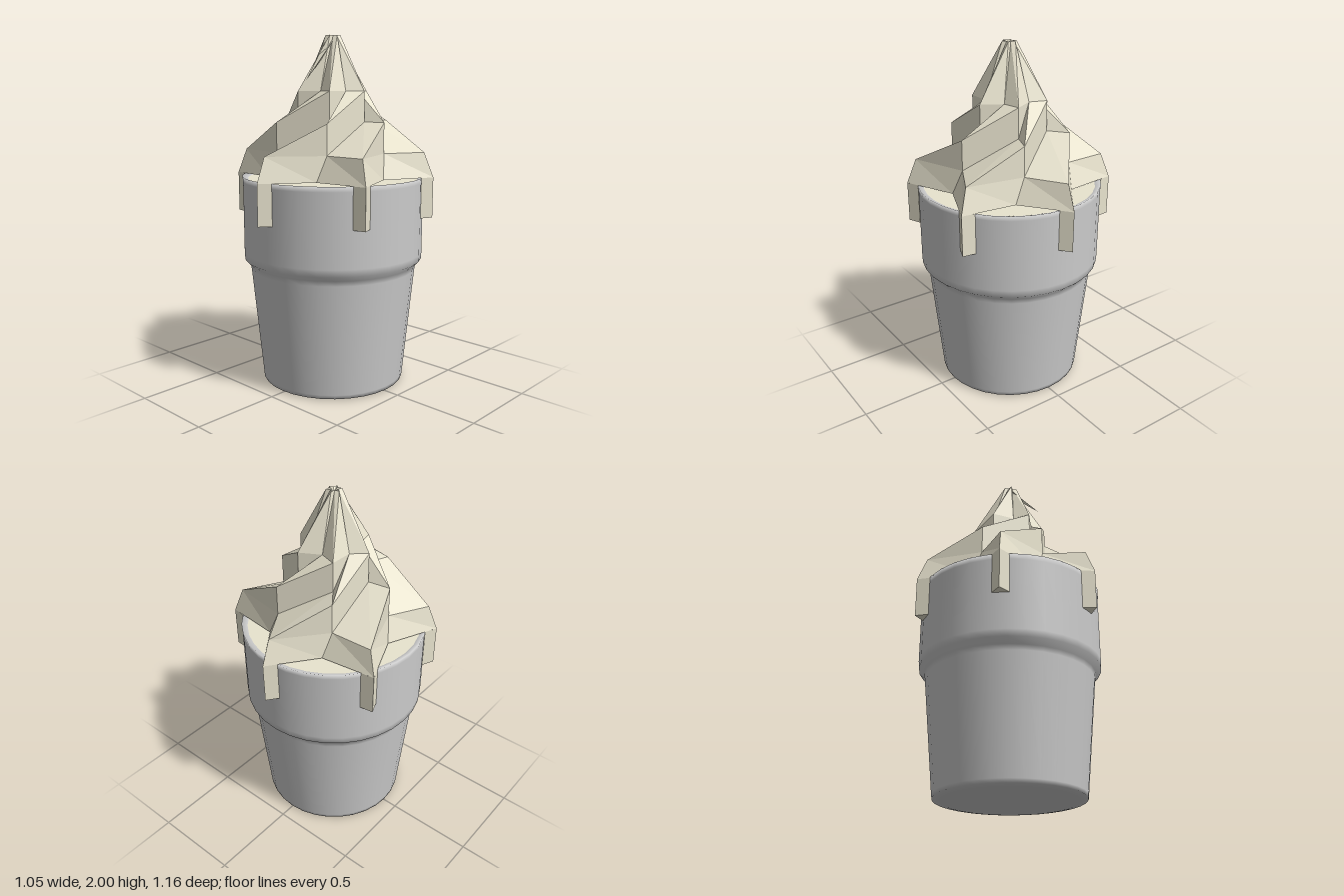
import * as THREE from 'three';

const SIDES = 6;
const polar = (r, deg, y) => {
  const a = THREE.MathUtils.degToRad(deg);
  return [r * Math.sin(a), y, r * Math.cos(a)];
};

// Triangle soup to flat-shaded mesh
function facetMesh(tris, material, name) {
  const g = new THREE.BufferGeometry();
  g.setAttribute('position', new THREE.Float32BufferAttribute(tris.flat(2), 3));
  g.computeVertexNormals();
  const mesh = new THREE.Mesh(g, material);
  mesh.name = name;
  return mesh;
}

export function createModel() {
  const model = new THREE.Group();
  model.name = 'softServeCup';
  const wafer = new THREE.MeshStandardMaterial({ color: 0xcccccc, side: THREE.DoubleSide });
  const cream = new THREE.MeshStandardMaterial({ color: 0xe9e4cf, flatShading: true, side: THREE.DoubleSide });

  // Cup with a wider upper collar and an inward rim
  const profile = [
    [0, 0], [0.37, 0], [0.415, 0.008], [0.418, 0.03], [0.482, 0.67], [0.487, 0.7],
    [0.518, 0.73], [0.521, 0.77], [0.522, 1.18], [0.525, 1.21], [0.49, 1.195],
  ].map(([r, y]) => new THREE.Vector2(r, y));
  const cup = new THREE.Mesh(new THREE.LatheGeometry(profile, 32), wafer);
  cup.name = 'cup';
  model.add(cup);

  // Flat cream filling inside the rim
  const filling = new THREE.Mesh(new THREE.CircleGeometry(0.492, 32), cream);
  filling.rotation.x = -Math.PI / 2;
  filling.position.y = 1.196;
  filling.name = 'creamFilling';
  model.add(filling);

  // Twisted star swirl: [height, tip radius, tip angle, valley radius, valley angle]
  const rings = [
    [1.21, 0.582, 0, 0.38, 30],
    [1.35, 0.528, 0, 0.345, 38],
    [1.52, 0.345, 38, 0.215, 98],
    [1.69, 0.215, 98, 0.14, 134],
    [2.0, 0.042, 138, 0.022, 168],
  ].map(([y, tr, ta, vr, va]) => {
    const ring = [];
    for (let k = 0; k < SIDES; k++) {
      ring.push(polar(tr, ta + k * 60, y), polar(vr, va + k * 60, y));
    }
    return ring;
  });
  const tris = [];
  const n = SIDES * 2;
  for (let i = 0; i < rings.length - 1; i++) {
    for (let j = 0; j < n; j++) {
      const a = rings[i][j], b = rings[i][(j + 1) % n];
      const c = rings[i + 1][(j + 1) % n], d = rings[i + 1][j];
      tris.push([a, b, d], [b, c, d]);
    }
  }
  const top = rings[rings.length - 1];
  for (let j = 0; j < n; j++) tris.push([top[j], top[(j + 1) % n], [0, 1.98, 0]]);
  model.add(facetMesh(tris, cream, 'creamSwirl'));

  // Three-sided drips hanging from the star tips over the rim
  for (let k = 0; k < SIDES; k++) {
    const section = [[-0.047, 0.52], [0, 0.582], [0.047, 0.52]];
    const lo = section.map(([x, z]) => [x, 0.98, z * 0.998]);
    const hi = section.map(([x, z]) => [x, 1.21, z]);
    const faces = [[lo[0], lo[2], lo[1]]];
    for (let j = 0; j < 3; j++) {
      const m = (j + 1) % 3;
      faces.push([lo[j], lo[m], hi[m]], [lo[j], hi[m], hi[j]]);
    }
    const drip = facetMesh(faces, cream, 'drip');
    drip.rotation.y = k * Math.PI / 3;
    model.add(drip);
  }

  // Thin curl falling forward from the peak
  const end = [0, 1.75, 0.213];
  const root = [[-0.03, 1.98, 0.02], [0, 1.92, 0.035], [0.03, 1.98, 0.02]];
  model.add(facetMesh([
    [root[0], end, root[1]], [root[1], end, root[2]], [root[2], end, root[0]],
  ], cream, 'peakCurl'));

  return model;
}
